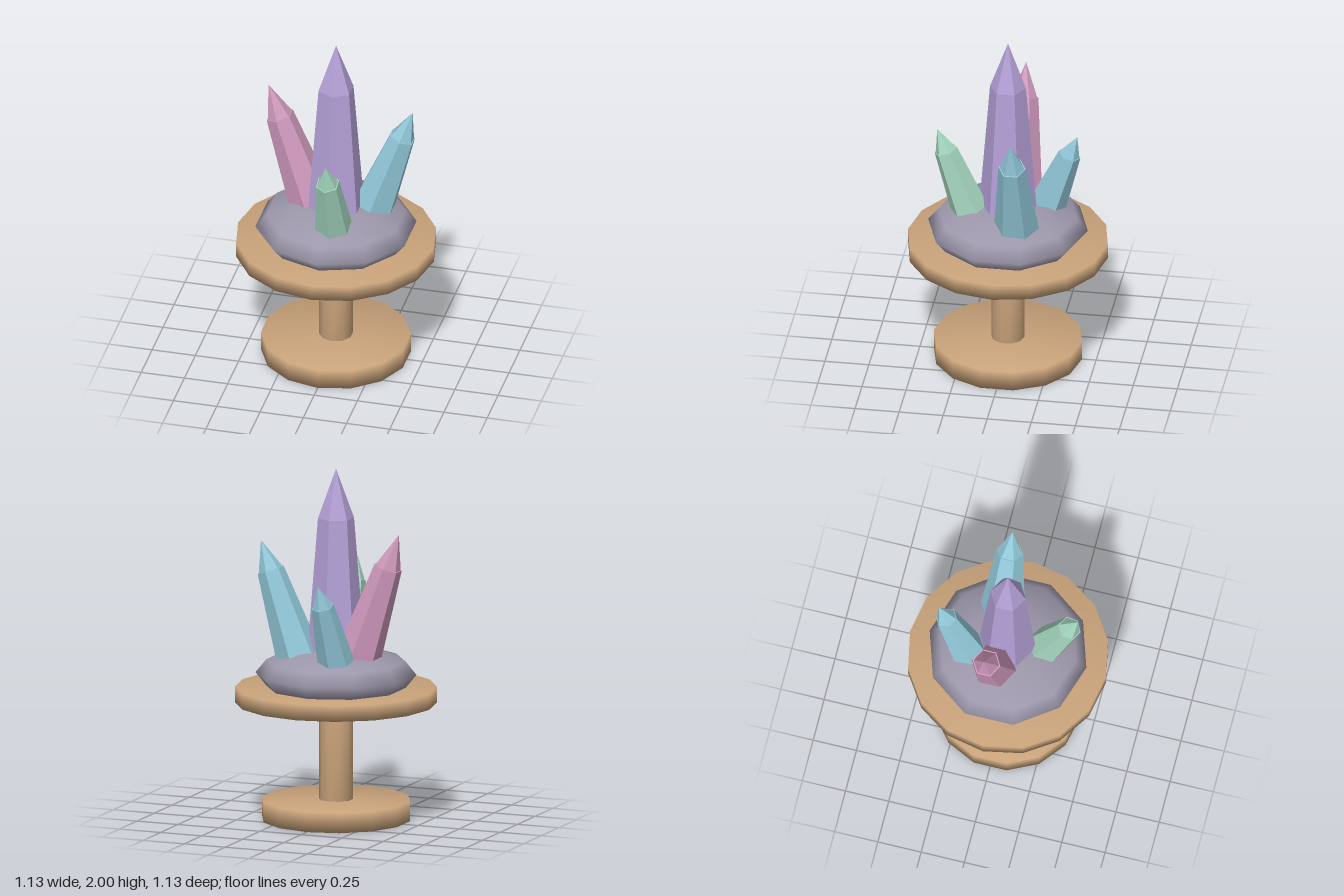
import * as THREE from 'three';
import { mergeVertices } from 'three/addons/utils/BufferGeometryUtils.js';

const material = (name, color, flatShading = false) => {
  const m = new THREE.MeshStandardMaterial({ color, flatShading });
  m.name = name;
  return m;
};

// Share normals over all edges so the turned parts shade softly
function soften(geometry) {
  geometry.deleteAttribute('normal');
  geometry.deleteAttribute('uv');
  const merged = mergeVertices(geometry, 1e-4);
  merged.computeVertexNormals();
  return merged;
}

export function createModel() {
  const model = new THREE.Group();
  model.name = 'crystalStand';

  const wood = material('wood', 0xc8a27a);
  const stone = material('stone', 0x9c97aa);
  const lavender = material('lavender', 0xb3a0d6, true);
  const pink = material('pink', 0xd09abd, true);
  const blue = material('blue', 0x92c8d9, true);
  const green = material('green', 0xa3d4bd, true);

  const add = (parent, name, geometry, mat) => {
    const mesh = new THREE.Mesh(geometry, mat);
    mesh.name = name;
    parent.add(mesh);
    return mesh;
  };

  // Wooden stand: foot, post and round top
  const disc = (name, radius, y0, y1, sides) => {
    const geometry = soften(new THREE.CylinderGeometry(radius, radius, y1 - y0, sides));
    add(model, name, geometry, wood).position.y = (y0 + y1) / 2;
  };
  disc('foot', 0.42, 0, 0.115, 14);
  disc('post', 0.095, 0.1, 0.68, 10);
  disc('standTop', 0.566, 0.665, 0.755, 16);

  // Squashed rock, its lower part sunk into the stand top
  const rock = new THREE.SphereGeometry(1, 10, 6).rotateY(Math.PI / 2).scale(0.453, 0.15, 0.453);
  add(model, 'rock', soften(rock), stone).position.y = 0.83;

  // Six-sided crystal from a base point to its tip; the shaft tapers and carries a pointed cap
  const UP = new THREE.Vector3(0, 1, 0);
  function crystal(name, base, tip, rBase, rTop, capScale, mat) {
    const from = new THREE.Vector3(...base);
    const axis = new THREE.Vector3(...tip).sub(from);
    const length = axis.length();
    const cap = length * 0.27;
    const shaft = length - cap;
    const sink = 0.06; // buried in the rock
    const rSunk = rBase + (rBase - rTop) * sink / shaft;

    const group = new THREE.Group();
    group.name = name;
    group.position.copy(from);
    group.quaternion.setFromUnitVectors(UP, axis.normalize());
    add(group, 'shaft', new THREE.CylinderGeometry(rTop, rSunk, shaft + sink, 6), mat)
      .position.y = (shaft - sink) / 2;
    add(group, 'point', new THREE.ConeGeometry(rTop * capScale, cap, 6, 1, true), mat)
      .position.y = shaft + cap / 2;
    model.add(group);
  }
  crystal('centreCrystal', [0, 0.96, 0], [0, 2, 0], 0.162, 0.102, 1, lavender);
  crystal('rightCrystal', [-0.16, 0.96, -0.04], [-0.4, 1.66, -0.04], 0.128, 0.08, 0.92, pink);
  crystal('leftCrystal', [0.205, 0.96, -0.08], [0.423, 1.575, -0.08], 0.125, 0.077, 0.92, blue);
  crystal('frontCrystal', [0.038, 0.95, 0.215], [0.038, 1.435, 0.395], 0.107, 0.068, 0.92, green);
  crystal('backCrystal', [-0.088, 0.955, -0.22], [-0.053, 1.4, -0.385], 0.102, 0.064, 0.92, blue);

  return model;
}
